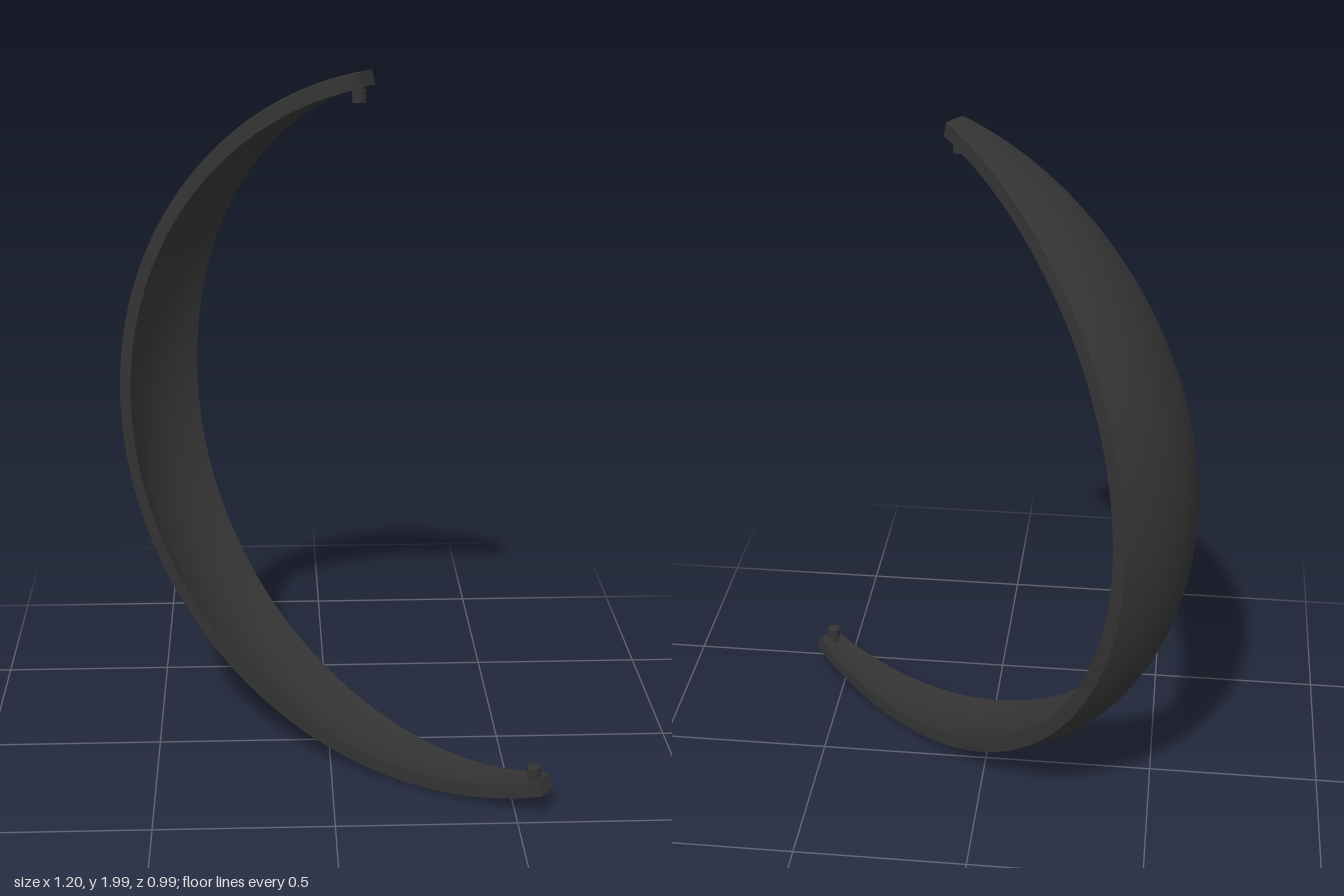
import * as THREE from 'three';

const TOP = -1.346, BOTTOM = 1.955;      // end angles of the arc, measured from its widest point
const TIP = 0.035, WIDE = 0.173;         // half widths of the band
const THICK = 0.04;

// Point on the band: t along the arc (0 top, 1 bottom), q across (-1..1), d through the thickness (0 outside, 1 inside)
function bandPoint(t, q, d) {
  const a = TOP + (BOTTOM - TOP) * t;
  const end = a < 0 ? TOP : BOTTOM;
  const k = (Math.cos(a) - Math.cos(end)) / (1 - Math.cos(end));
  const bulge = a < 0 ? 0.006 : 0.012;
  const h = TIP + (WIDE - TIP) * k + bulge * Math.sin(Math.PI * k);
  const inward = 0.05 * (h / WIDE) ** 2 * q * q + THICK * d;
  const s = 0.36 - (1.027 - inward) * Math.cos(a);
  const y = 1.01 - (1.01 - inward) * Math.sin(a);
  return [0.8 * s - 0.012 + 0.53 * h * q, y, 0.6 * s + 0.016 - 0.85 * h * q];
}

// Smooth surface patch over the unit square
function patch(f, na, nb) {
  const pos = [], index = [];
  for (let i = 0; i <= na; i++) {
    for (let j = 0; j <= nb; j++) {
      pos.push(...f(i / na, j / nb));
      if (i < na && j < nb) {
        const p = i * (nb + 1) + j, r = p + nb + 1;
        index.push(p, r, r + 1, p, r + 1, p + 1);
      }
    }
  }
  const g = new THREE.BufferGeometry();
  g.setAttribute('position', new THREE.Float32BufferAttribute(pos, 3));
  g.setIndex(index);
  g.computeVertexNormals();
  return g;
}

export function createModel() {
  const model = new THREE.Group();
  model.name = 'curvedBand';
  const darkGrey = new THREE.MeshStandardMaterial({ color: 0x333333 });
  darkGrey.name = 'darkGrey';

  const add = (name, geometry, parent = model) => {
    const mesh = new THREE.Mesh(geometry, darkGrey);
    mesh.name = name;
    parent.add(mesh);
    return mesh;
  };

  // Crescent band: two faces, two rims and two end caps
  const band = new THREE.Group();
  band.name = 'band';
  model.add(band);
  add('outerFace', patch((a, b) => bandPoint(1 - a, 2 * b - 1, 0), 96, 16), band);
  add('innerFace', patch((a, b) => bandPoint(a, 2 * b - 1, 1), 96, 16), band);
  add('frontRim', patch((a, b) => bandPoint(a, -1, b), 96, 1), band);
  add('backRim', patch((a, b) => bandPoint(1 - a, 1, b), 96, 1), band);
  add('bottomEnd', patch((a, b) => bandPoint(1, 2 * a - 1, b), 8, 1), band);
  add('topEnd', patch((a, b) => bandPoint(0, 1 - 2 * a, b), 8, 1), band);

  // Hinge pins with a stem and a wider head, pointing inward at each end
  const pin = (name, x, y, z, dir) => {
    const group = new THREE.Group();
    group.name = name;
    group.position.set(x, y, z);
    model.add(group);
    add('pinStem', new THREE.CylinderGeometry(0.014, 0.014, 0.06, 20), group);
    add('pinHead', new THREE.CylinderGeometry(0.019, 0.019, 0.032, 20), group).position.y = 0.024 * dir;
  };
  pin('topPin', 0.077, 1.95, 0.08, -1);
  pin('bottomPin', 0.547, 0.102, 0.445, 1);

  return model;
}
